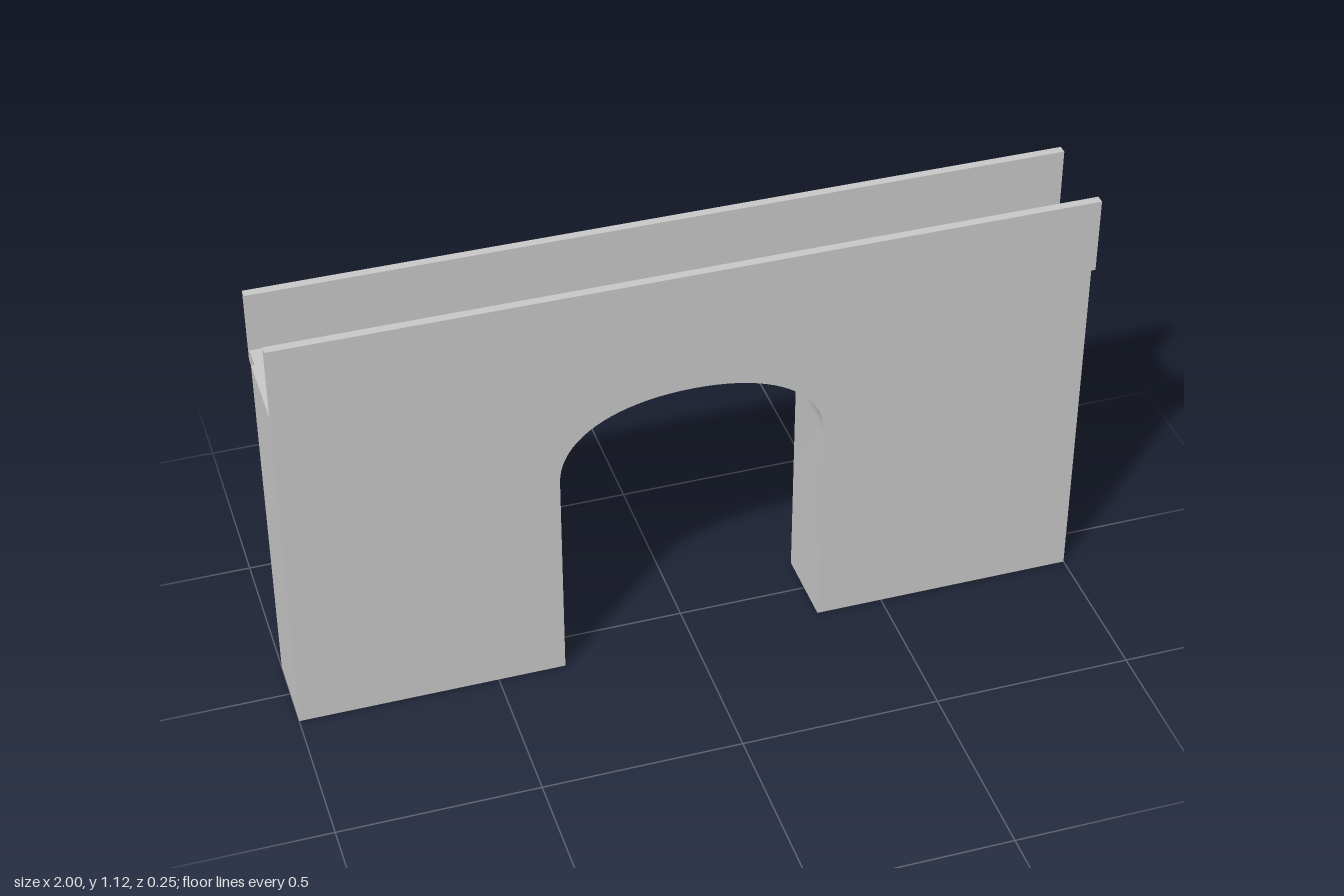
import * as THREE from 'three';
import { toCreasedNormals } from 'three/addons/utils/BufferGeometryUtils.js';

export function createModel() {
  const bridge = new THREE.Group();
  bridge.name = 'bridge';

  const stone = new THREE.MeshStandardMaterial({ color: 0xc8c8c8, side: THREE.DoubleSide });
  stone.name = 'light grey stone';

  const add = (name, geometry, x, y, z) => {
    const mesh = new THREE.Mesh(geometry, stone);
    mesh.name = name;
    mesh.position.set(x, y, z);
    bridge.add(mesh);
  };

  const length = 2, width = 0.205, bodyTop = 0.927;
  const archHalf = 0.33, springY = 0.578, shoulderY = 0.7, archTop = 0.783, flatHalf = 0.2;

  // Bridge body: a wall with a flat-topped arched opening
  const outline = new THREE.Shape();
  outline.moveTo(-length / 2, 0);
  outline.lineTo(-archHalf, 0);
  outline.lineTo(-archHalf, springY);
  outline.bezierCurveTo(-archHalf, shoulderY, -flatHalf, archTop, 0, archTop);
  outline.bezierCurveTo(flatHalf, archTop, archHalf, shoulderY, archHalf, springY);
  outline.lineTo(archHalf, 0);
  outline.lineTo(length / 2, 0);
  outline.lineTo(length / 2, bodyTop);
  outline.lineTo(-length / 2, bodyTop);
  outline.closePath();
  const body = new THREE.ExtrudeGeometry(outline, { depth: width, bevelEnabled: false, curveSegments: 20 });
  add('archedBody', toCreasedNormals(body, 0.5), 0, 0, -width / 2);

  // Parapets along both edges, just outside the body
  const parapetHeight = 0.195, parapetThickness = 0.022;
  for (const [name, side] of [['frontParapet', 1], ['backParapet', -1]]) {
    add(name, new THREE.BoxGeometry(length, parapetHeight, parapetThickness),
      0, bodyTop + parapetHeight / 2, side * (width + parapetThickness) / 2);
  }

  // Thin road deck held between the parapets, a little above the body
  const deck = new THREE.PlaneGeometry(length, width).rotateX(-Math.PI / 2);
  add('roadDeck', deck, 0, 0.97, 0);

  return bridge;
}
